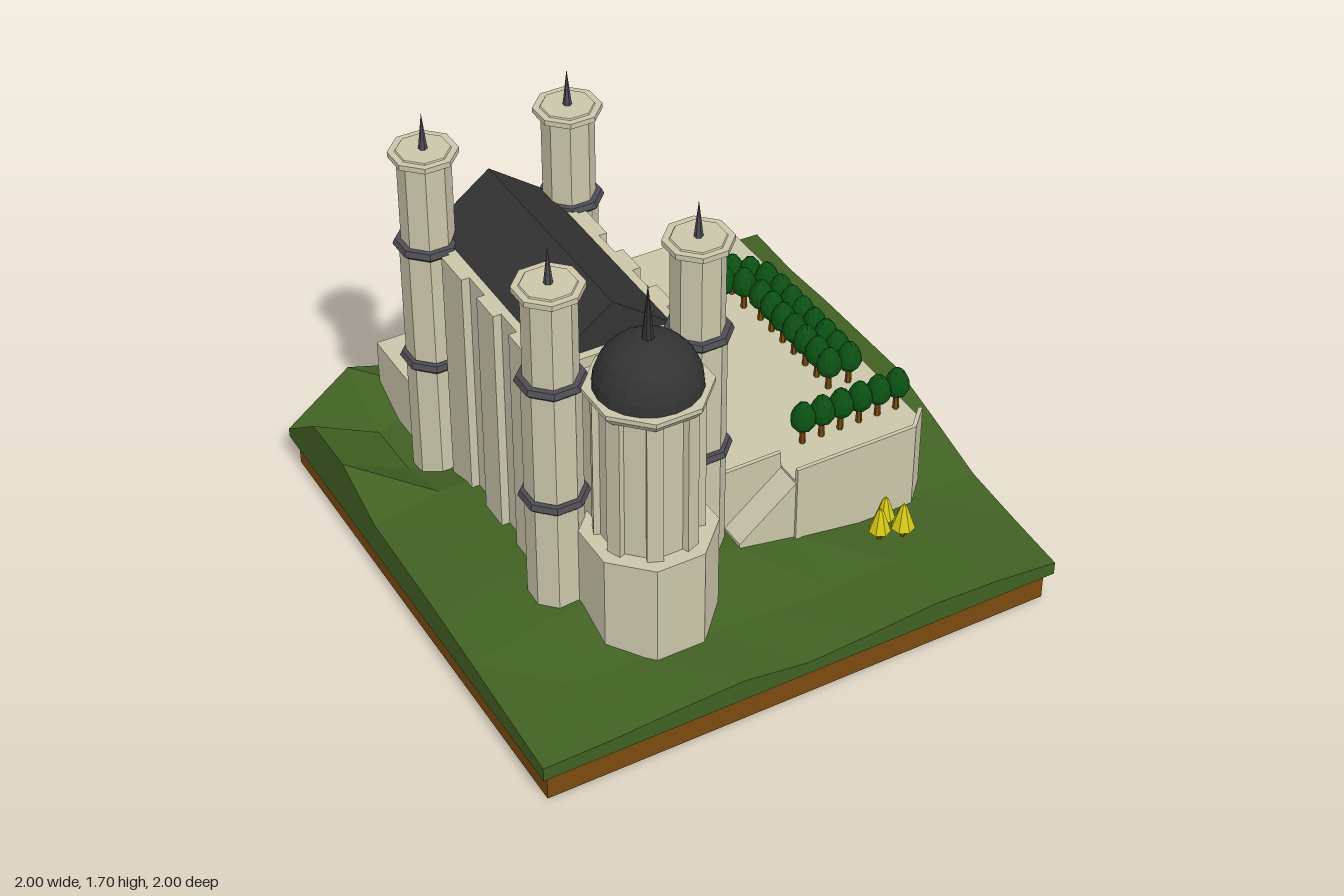
import * as THREE from 'three';

const mat = (name, color, extra = {}) =>
  Object.assign(new THREE.MeshStandardMaterial({ color, flatShading: true, ...extra }), { name });

export function createModel() {
  const root = new THREE.Group();
  root.name = 'castleOnHill';
  const grass = mat('grass', 0x416122);
  const earth = mat('earth brown', 0x7a4a0f);
  const stone = mat('stone', 0xcac6aa);
  const slate = mat('roof slate', 0x333334);
  const band = mat('band grey', 0x4c4c52);
  const leaf = mat('leaf green', 0x0b5013);
  const yellow = mat('yellow', 0xd9cb12);
  const purple = mat('purple', 0x8c0a98);

  const add = (parent, name, geo, material, x = 0, y = 0, z = 0) => {
    const m = new THREE.Mesh(geo, material);
    m.name = name;
    m.position.set(x, y, z);
    parent.add(m);
    return m;
  };
  // box given by its minimum and maximum corners
  const box = (parent, name, material, x0, x1, y0, y1, z0, z1) =>
    add(parent, name, new THREE.BoxGeometry(x1 - x0, y1 - y0, z1 - z0), material,
      (x0 + x1) / 2, (y0 + y1) / 2, (z0 + z1) / 2);
  const group = (name, x = 0, z = 0) => {
    const g = new THREE.Group();
    g.name = name;
    g.position.set(x, 0, z);
    root.add(g);
    return g;
  };
  // octagonal section with flat sides facing the axes; sizes are half widths
  const K = 1 / Math.cos(Math.PI / 8);
  const octagon = (parent, name, material, y0, y1, a0, a1 = a0) => {
    const geo = new THREE.CylinderGeometry(a1 * K, a0 * K, y1 - y0, 8);
    geo.rotateY(Math.PI / 8);
    return add(parent, name, geo, material, 0, (y0 + y1) / 2, 0);
  };

  // ground: earth slab and faceted grass hill
  box(root, 'earthSlab', earth, -0.975, 0.975, 0, 0.115, -0.975, 0.975);
  const H = [
    [.15, .34, .26, .20, .32, .36, .40, .33, .32],
    [.34, .21, .30, .30, .30, .30, .35, .33, .31],
    [.345, .22, .30, .30, .30, .30, .30, .33, .325],
    [.25, .30, .30, .30, .30, .30, .30, .33, .33],
    [.24, .30, .30, .30, .30, .30, .30, .34, .335],
    [.23, .30, .30, .30, .30, .28, .25, .27, .27],
    [.21, .28, .30, .30, .29, .24, .20, .20, .20],
    [.19, .21, .21, .21, .19, .18, .20, .19, .18],
    [.17, .175, .19, .20, .165, .18, .20, .19, .165],
  ];
  const pos = [];
  const P = (i, j) => [-1 + i / 4, H[j][i], -1 + j / 4];
  const low = (p) => [p[0], 0.115, p[2]];
  const tri = (...ps) => ps.forEach((p) => pos.push(...p));
  const skirt = (p, q) => {
    tri(low(p), low(q), q);
    tri(low(p), q, p);
  };
  for (let j = 0; j < 8; j++) {
    for (let i = 0; i < 8; i++) {
      tri(P(i, j), P(i + 1, j + 1), P(i + 1, j));
      tri(P(i, j), P(i, j + 1), P(i + 1, j + 1));
    }
    skirt(P(j, 8), P(j + 1, 8));
    skirt(P(j + 1, 0), P(j, 0));
    skirt(P(8, j + 1), P(8, j));
    skirt(P(0, j), P(0, j + 1));
  }
  const corners = [P(0, 0), P(8, 0), P(8, 8), P(0, 8)].map(low);
  tri(corners[0], corners[1], corners[2]);
  tri(corners[0], corners[2], corners[3]);
  const hill = new THREE.BufferGeometry();
  hill.setAttribute('position', new THREE.Float32BufferAttribute(pos, 3));
  hill.computeVertexNormals();
  add(root, 'grassHill', hill, grass);

  // terrace: plan outline (x, z) raised to a flat top
  const raise = (name, outline, y0, y1) => {
    const shape = new THREE.Shape(outline.map(([x, z]) => new THREE.Vector2(x, -z)));
    const geo = new THREE.ExtrudeGeometry(shape, { depth: y1 - y0, bevelEnabled: false });
    geo.rotateX(-Math.PI / 2);
    return add(root, name, geo, stone, 0, y0, 0);
  };
  raise('terrace', [[-.67, -.9], [.8, -.9], [.8, .44], [.72, .52], [.24, .52], [.24, .41],
    [-.6, .41], [-.6, -.5], [-.67, -.5]], 0.15, 0.49);
  raise('frontParapet', [[.8, .44], [.72, .52], [.24, .52], [.24, .505], [.714, .505], [.785, .434]], 0.48, 0.545);
  box(root, 'rampBackParapet', stone, 0, 0.24, 0.2, 0.545, 0.395, 0.41);
  const rampShape = new THREE.Shape([[.02, .15], [.24, .15], [.24, .48], [.02, .3]].map((p) => new THREE.Vector2(...p)));
  add(root, 'ramp', new THREE.ExtrudeGeometry(rampShape, { depth: 0.1, bevelEnabled: false }), stone, 0, 0, 0.41);

  // hall with buttresses and pitched roof
  const hall = group('hall');
  box(hall, 'hallWalls', stone, -0.61, -0.12, 0.2, 1.2, -0.53, 0.36);
  for (const [z0, z1] of [[-.36, -.21], [-.1, .02], [.13, .25]]) {
    box(hall, 'leftButtress', stone, -0.125, -0.09, 0.2, 1.2, z0, z1);
    box(hall, 'rightButtress', stone, -0.64, -0.605, 0.2, 1.2, z0, z1);
  }
  const gable = new THREE.Shape([[-.58, 1.2], [-.15, 1.2], [-.365, 1.36]].map((p) => new THREE.Vector2(...p)));
  add(hall, 'hallRoof', new THREE.ExtrudeGeometry(gable, { depth: 0.87, bevelEnabled: false }), slate, 0, 0, -0.54);
  box(hall, 'apseLink', stone, -0.51, -0.22, 0.2, 1.16, 0.35, 0.5);

  // four corner towers
  for (const [x, z] of [[-.63, -.48], [-.09, -.48], [-.62, .385], [-.09, .4]]) {
    const t = group('tower', x, z);
    octagon(t, 'towerBase', stone, 0.15, 0.7, 0.092);
    octagon(t, 'towerMiddle', stone, 0.74, 1.18, 0.092);
    octagon(t, 'towerTop', stone, 1.2, 1.53, 0.085);
    for (const y of [0.7, 1.175]) {
      octagon(t, 'bandLower', band, y, y + 0.015, 0.098, 0.112);
      octagon(t, 'bandUpper', band, y + 0.015, y + 0.035, 0.112, 0.104);
    }
    octagon(t, 'capFlare', stone, 1.525, 1.54, 0.088, 0.11);
    octagon(t, 'capSlab', stone, 1.54, 1.56, 0.11);
    octagon(t, 'capInset', stone, 1.56, 1.565, 0.088, 0.085);
    add(t, 'towerSpire', new THREE.ConeGeometry(0.016, 0.14, 6), band, 0, 1.632, 0);
  }

  // domed apse
  const apse = group('apse', -0.367, 0.565);
  octagon(apse, 'apseBase', stone, 0.15, 0.6, 0.217);
  octagon(apse, 'apseDrum', stone, 0.6, 1.16, 0.16);
  for (let i = 0; i < 8; i++) {
    const a = (i + 0.5) * Math.PI / 4;
    const p = add(apse, 'pilaster', new THREE.BoxGeometry(0.055, 0.56, 0.03), stone,
      Math.sin(a) * 0.17, 0.88, Math.cos(a) * 0.17);
    p.rotation.y = a;
  }
  octagon(apse, 'corniceFlare', stone, 1.15, 1.18, 0.178, 0.2);
  octagon(apse, 'cornice', stone, 1.18, 1.197, 0.2);
  const dome = new THREE.SphereGeometry(0.182, 20, 7, 0, Math.PI * 2, 0, Math.PI / 2);
  add(apse, 'dome', dome, slate, 0, 1.197, 0);
  add(apse, 'domeSpire', new THREE.ConeGeometry(0.022, 0.22, 8), slate, 0, 1.475, 0);

  // small painted annex behind the hall
  const annex = group('annex');
  box(annex, 'annexBeam', earth, -0.64, -0.1, 0.61, 0.65, -0.7, -0.65);
  box(annex, 'annexEndPost', earth, -0.64, -0.615, 0.49, 0.61, -0.7, -0.58);
  box(annex, 'annexPost', earth, -0.19, -0.1, 0.55, 0.61, -0.695, -0.66);
  box(annex, 'annexPost', earth, -0.14, -0.1, 0.49, 0.55, -0.695, -0.66);
  box(annex, 'annexCrossBeam', earth, -0.45, -0.37, 0.6, 0.65, -0.65, -0.53);
  box(annex, 'annexBackBeam', earth, -0.55, -0.3, 0.6, 0.648, -0.61, -0.53);
  box(annex, 'purplePanel', purple, -0.615, -0.38, 0.49, 0.61, -0.69, -0.682);
  box(annex, 'greyPanel', band, -0.38, -0.28, 0.54, 0.61, -0.68, -0.66);
  box(annex, 'yellowLedge', yellow, -0.3, -0.15, 0.57, 0.645, -0.6, -0.53);
  box(annex, 'yellowLedge', yellow, -0.62, -0.55, 0.57, 0.645, -0.6, -0.53);
  box(annex, 'turret', earth, -0.48, -0.3, 0.64, 0.805, -0.605, -0.53);
  box(annex, 'turretTop', yellow, -0.46, -0.33, 0.805, 0.81, -0.6, -0.53);
  box(annex, 'turretPurplePanel', purple, -0.45, -0.38, 0.65, 0.77, -0.612, -0.605);
  box(annex, 'turretYellowPanel', yellow, -0.37, -0.32, 0.72, 0.785, -0.612, -0.605);

  // terrace trees: egg-shaped crowns on thin trunks
  const crown = new THREE.IcosahedronGeometry(1, 1);
  const cp = crown.attributes.position;
  for (let i = 0; i < cp.count; i++) {
    const y = cp.getY(i);
    const w = 0.045 * (1 - 0.3 * y);
    cp.setXYZ(i, cp.getX(i) * w, y * 0.062, cp.getZ(i) * w);
  }
  crown.computeVertexNormals();
  const trunk = new THREE.CylinderGeometry(0.009, 0.012, 0.1, 6);
  const spots = [[.6, -.525], [.535, -.48], [.65, -.48], [.595, -.43], [.685, -.42]];
  for (let i = 0; i < 7; i++) {
    const z = -0.335 + i * 0.077;
    spots.push([0.61, z], [0.69, z + 0.005]);
  }
  for (let i = 0; i < 6; i++) spots.push([0.37 + i * 0.077, 0.34]);
  spots.forEach(([x, z], i) => {
    const t = group('tree', x, z);
    add(t, 'treeTrunk', trunk, earth, 0, 0.53, 0);
    add(t, 'treeCrown', crown, leaf, 0, 0.606, 0).rotation.y = i * 1.3;
  });

  // yellow bushes at the foot of the terrace
  for (const [x, z, s] of [[.52, .62, 1], [.6, .645, 1.08], [.575, .57, .9]]) {
    const t = group('yellowTree', x, z);
    add(t, 'yellowTrunk', new THREE.CylinderGeometry(0.008, 0.01, 0.06, 6), earth, 0, 0.22, 0);
    add(t, 'yellowCrown', new THREE.CylinderGeometry(0.014, 0.04 * s, 0.08 * s, 7), yellow, 0, 0.235 + 0.04 * s, 0);
    add(t, 'yellowTip', new THREE.ConeGeometry(0.014, 0.02, 7), yellow, 0, 0.245 + 0.08 * s, 0);
  }
  return root;
}
